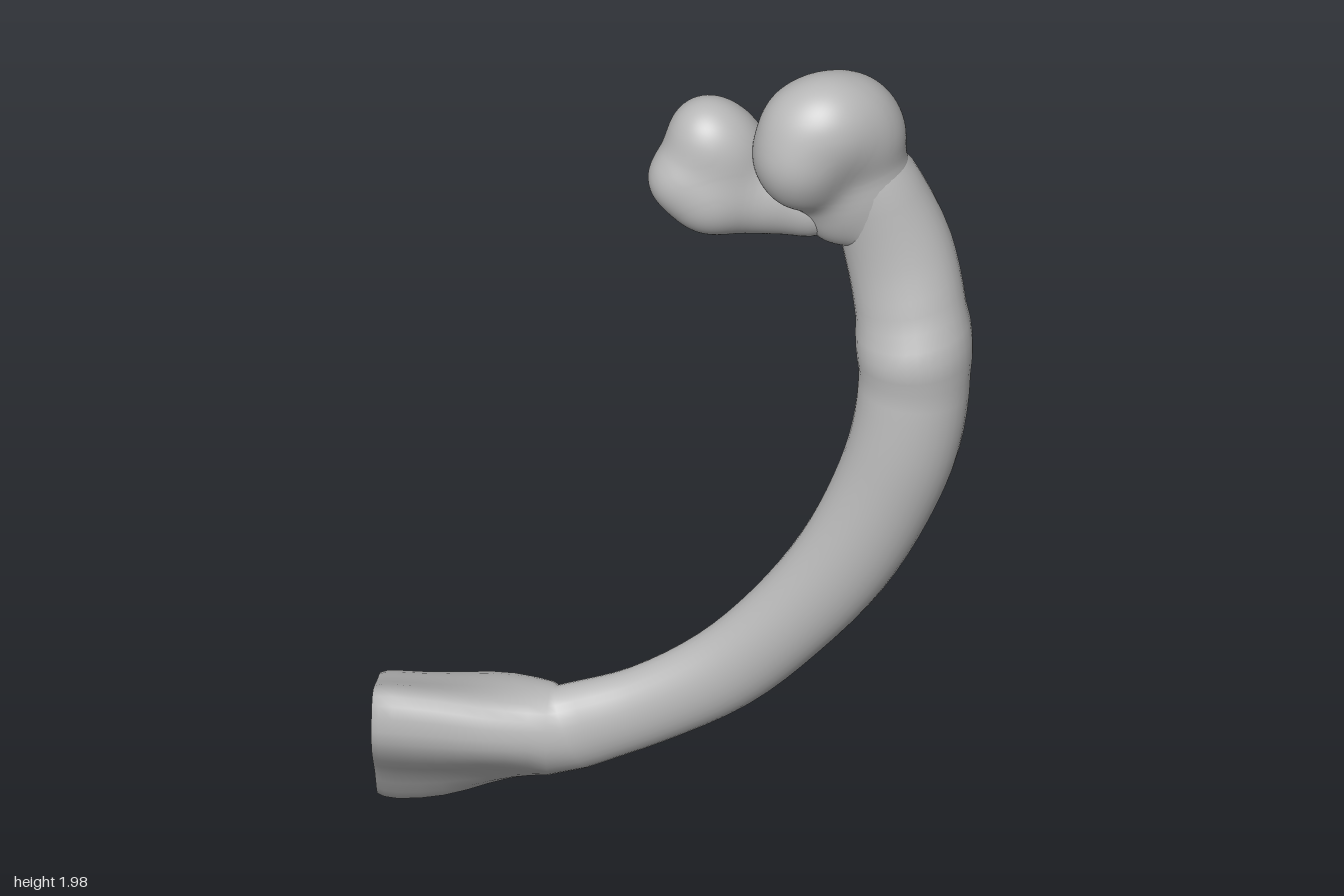
import * as THREE from 'three';
import { mergeVertices } from 'three/addons/utils/BufferGeometryUtils.js';

const SIDES = 32;

// Shaft stations: centre x, y, z, then half width in the bend plane and half depth
const SHAFT = [
  [0.36, 1.84, -0.03, 0.04, 0.05], [0.425, 1.69, -0.052, 0.1, 0.095],
  [0.485, 1.52, -0.045, 0.12, 0.102], [0.517, 1.38, -0.012, 0.122, 0.108],
  [0.529, 1.24, 0.015, 0.122, 0.108], [0.512, 1.08, 0.036, 0.12, 0.102],
  [0.46, 0.92, 0.045, 0.115, 0.096], [0.375, 0.75, 0.057, 0.109, 0.086],
  [0.255, 0.588, 0.062, 0.101, 0.08], [0.12, 0.452, 0.067, 0.098, 0.073],
  [-0.05, 0.347, 0.076, 0.094, 0.067], [-0.21, 0.28, 0.082, 0.102, 0.072],
];

// Outline of the flared end as z, y
const END = [[0.03, 0.335], [0.175, 0.388], [0.202, 0.28], [0.1, 0.13],
  [0, 0], [-0.085, 0.065], [-0.168, 0.14], [-0.1, 0.265]];

// Flare rings: x, blend from round to end outline in y and in z, scale
const FLARE = [[-0.26, 0.1, 0.18, 1], [-0.3, 0.2, 0.37, 1], [-0.35, 0.36, 0.6, 1],
  [-0.4, 0.54, 0.77, 1], [-0.45, 0.72, 0.87, 1], [-0.5, 0.86, 0.93, 1], [-0.55, 0.95, 0.97, 1],
  [-0.6, 1, 1, 1], [-0.63, 1, 1, 0.985], [-0.646, 1, 1, 0.94]];

// Rounded masses of each knob: x, y, z, radius
const INNER_KNOB = [
  [0.07, 1.815, -0.005, 0.07], [0.115, 1.78, -0.01, 0.06], [0.01, 1.71, 0.03, 0.052],
  [0.09, 1.655, -0.125, 0.07], [0.08, 1.665, 0.03, 0.062], [0.09, 1.7, -0.04, 0.075],
  [0.1, 1.65, -0.03, 0.06], [0.2, 1.655, -0.03, 0.078], [0.18, 1.67, -0.08, 0.055],
  [0.3, 1.625, -0.04, 0.07],
];
const OUTER_KNOB = [
  [0.335, 1.882, 0.015, 0.085], [0.38, 1.86, -0.035, 0.08], [0.28, 1.8, 0.055, 0.06],
  [0.275, 1.87, 0.02, 0.06], [0.25, 1.79, 0.02, 0.04], [0.28, 1.74, 0.03, 0.055],
  [0.41, 1.81, -0.05, 0.075], [0.33, 1.77, -0.085, 0.06], [0.25, 1.74, -0.07, 0.055],
  [0.425, 1.69, -0.055, 0.075], [0.36, 1.66, -0.05, 0.075], [0.475, 1.57, -0.05, 0.075],
  [0.35, 1.6, -0.04, 0.05],
];

function shaftRings() {
  const centre = new THREE.CatmullRomCurve3(SHAFT.map(s => new THREE.Vector3(s[0], s[1], s[2])));
  const size = new THREE.CatmullRomCurve3(SHAFT.map(s => new THREE.Vector3(s[3], s[4], 0)));
  const rings = [];
  const steps = (SHAFT.length - 1) * 4;
  for (let j = 0; j <= steps; j++) {
    const c = centre.getPoint(j / steps), t = centre.getTangent(j / steps);
    const s = size.getPoint(j / steps);
    const n = new THREE.Vector2(t.y, -t.x).normalize();
    rings.push(Array.from({ length: SIDES }, (_, i) => {
      const a = (i / SIDES) * Math.PI * 2, w = Math.cos(a) * s.x;
      return new THREE.Vector3(c.x + n.x * w, c.y + n.y * w, c.z + Math.sin(a) * s.y);
    }));
  }
  // Flared end
  const outline = new THREE.CatmullRomCurve3(END.map(([z, y]) => new THREE.Vector3(0, y, z)), true);
  for (const [x, blendY, blendZ, scale] of FLARE) {
    rings.push(Array.from({ length: SIDES }, (_, i) => {
      const a = (i / SIDES) * Math.PI * 2;
      const end = outline.getPoint(i / SIDES);
      const y = THREE.MathUtils.lerp(0.27 + Math.cos(a) * 0.106, end.y, blendY);
      const z = 0.03 + (THREE.MathUtils.lerp(0.082 + Math.sin(a) * 0.08, end.z, blendZ) - 0.03) * scale;
      return new THREE.Vector3(x + z * 0.05 * blendY, 0.2 + (y - 0.2) * scale, z);
    }));
  }
  return rings;
}

function loft(rings) {
  const index = [];
  for (let r = 0; r < rings.length - 1; r++) {
    for (let i = 0; i < SIDES; i++) {
      const a = r * SIDES + i, b = r * SIDES + (i + 1) % SIDES;
      index.push(a, a + SIDES, b, b, a + SIDES, b + SIDES);
    }
  }
  const g = new THREE.BufferGeometry().setFromPoints(rings.flat());
  g.setIndex(index);
  g.computeVertexNormals();
  return g;
}

function cap(ring) {
  const middle = ring.reduce((m, p) => m.add(p), new THREE.Vector3()).divideScalar(SIDES);
  const index = [];
  for (let i = 0; i < SIDES; i++) index.push(SIDES, (i + 1) % SIDES, i);
  const g = new THREE.BufferGeometry().setFromPoints([...ring, middle]);
  g.setIndex(index);
  g.computeVertexNormals();
  return g;
}

// Smooth union of rounded masses, negative inside
function field(masses, p) {
  const k = 0.032;
  let sum = 0;
  for (const [x, y, z, r] of masses) {
    sum += Math.exp(-(Math.hypot(p.x - x, p.y - y, p.z - z) - r) / k);
  }
  return -k * Math.log(sum);
}

// Push a sphere's vertices out from the origin to the surface of the blended masses
function knob(masses, origin) {
  const ball = new THREE.IcosahedronGeometry(1, 24);
  ball.deleteAttribute('normal');
  ball.deleteAttribute('uv');
  const g = mergeVertices(ball);
  const pos = g.attributes.position;
  const dir = new THREE.Vector3(), p = new THREE.Vector3();
  for (let i = 0; i < pos.count; i++) {
    dir.fromBufferAttribute(pos, i).normalize();
    let d = 0.02;
    for (let s = 0; s < 60; s++) {
      const f = field(masses, p.copy(origin).addScaledVector(dir, d));
      if (f > -0.0003) break;
      d -= f * 0.7;
    }
    p.copy(origin).addScaledVector(dir, d);
    pos.setXYZ(i, p.x, p.y, p.z);
  }
  g.computeVertexNormals();
  return g;
}

export function createModel() {
  const bone = new THREE.MeshStandardMaterial({ color: 0xb8b8b8 });
  bone.name = 'boneGrey';
  const group = new THREE.Group();
  group.name = 'ribBone';
  const add = (name, geometry) => {
    const mesh = new THREE.Mesh(geometry, bone);
    mesh.name = name;
    group.add(mesh);
  };
  const rings = shaftRings();
  add('shaft', loft(rings));
  add('endFace', cap(rings[rings.length - 1]));
  add('innerKnob', knob(INNER_KNOB, new THREE.Vector3(0.09, 1.7, -0.02)));
  add('outerKnob', knob(OUTER_KNOB, new THREE.Vector3(0.36, 1.77, -0.03)));
  return group;
}
